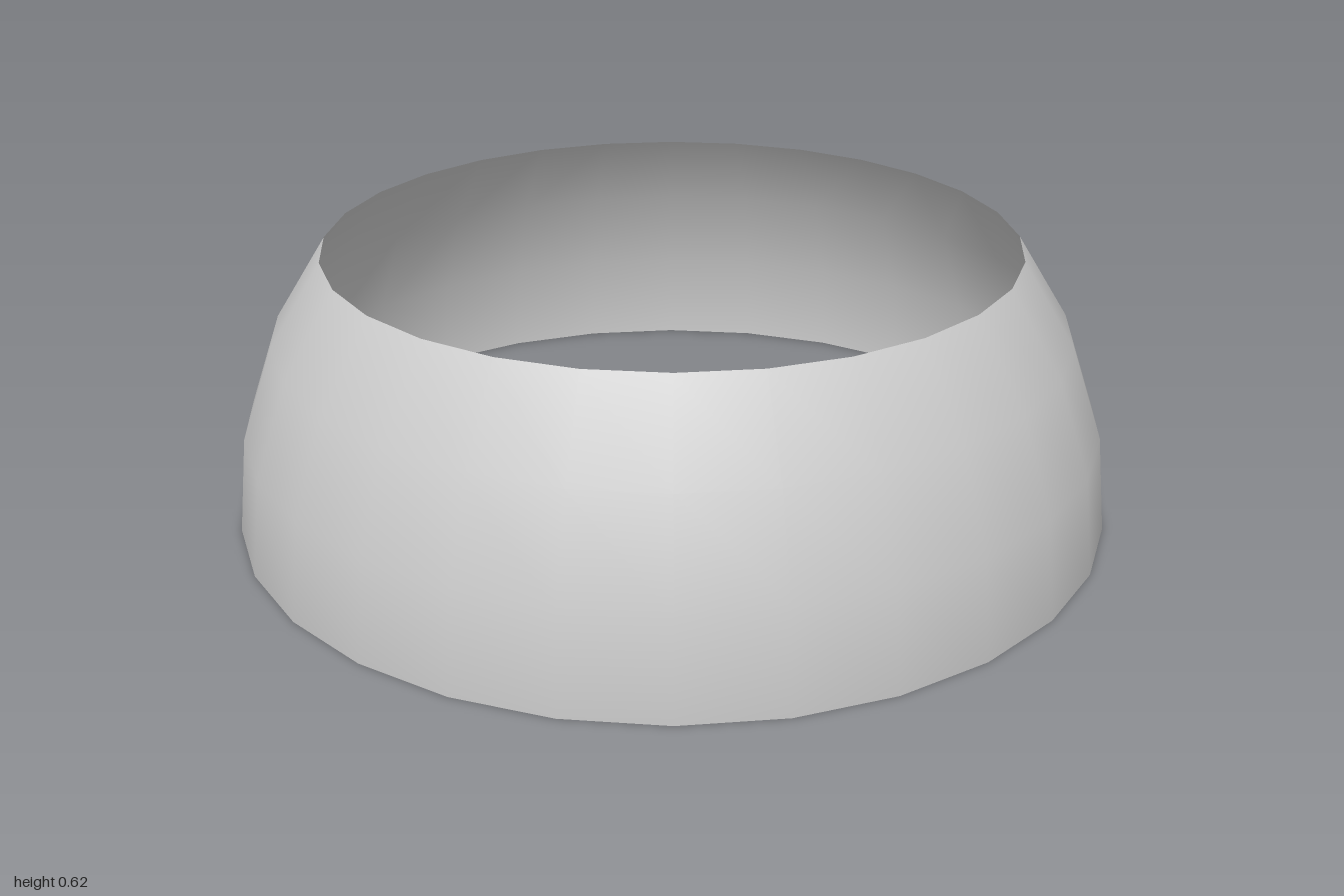
import * as THREE from 'three';

export function createModel() {
  const group = new THREE.Group();
  group.name = 'openDomeRing';

  // Thin band of a unit sphere, from the equator up to an open rim
  const step = Math.PI / 14;
  const band = new THREE.Mesh(
    new THREE.SphereGeometry(1, 28, 3, 0, Math.PI * 2, 4 * step, 3 * step),
    new THREE.MeshStandardMaterial({ color: 0xcccccc, side: THREE.DoubleSide })
  );
  band.name = 'domeBand';
  group.add(band);

  return group;
}
